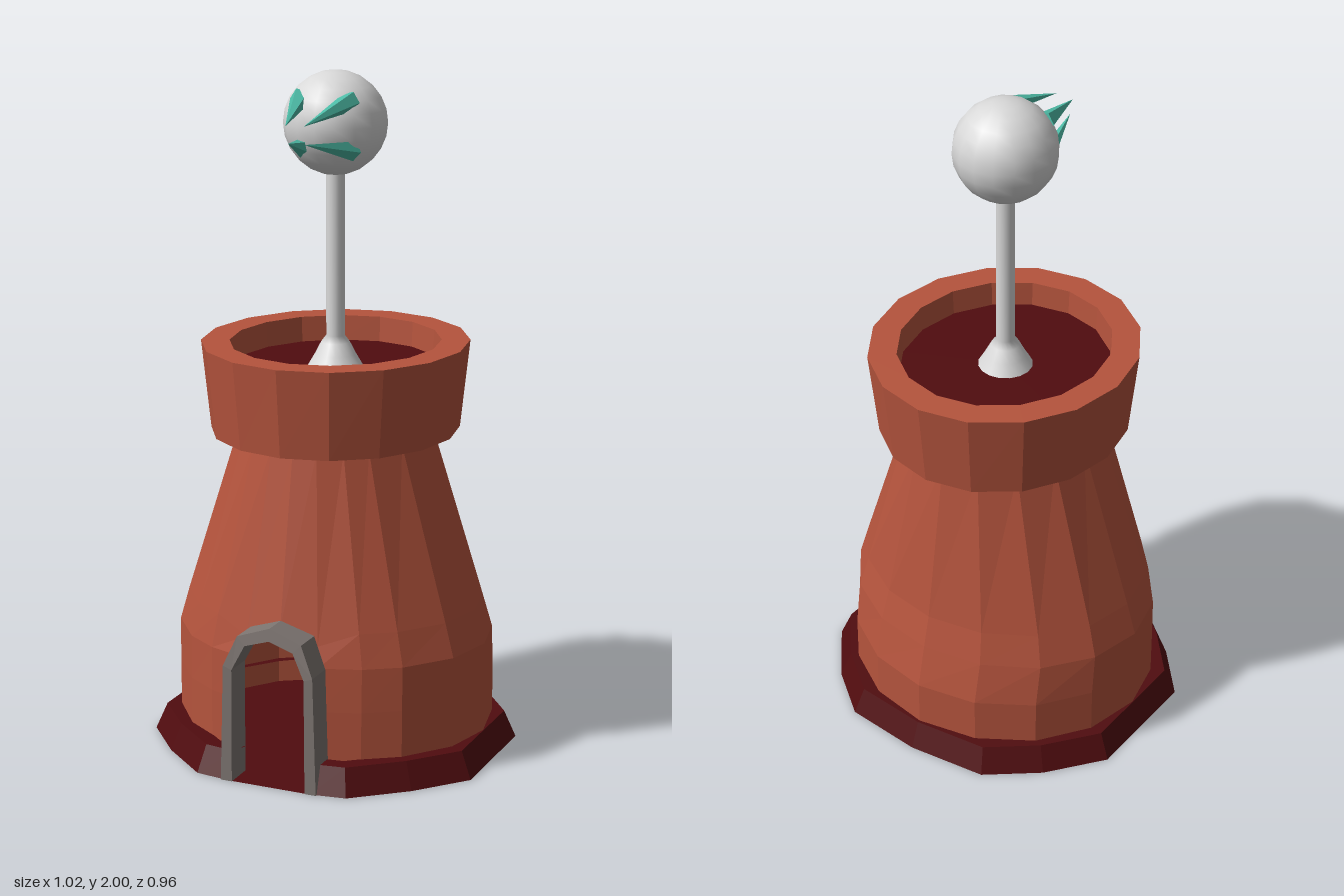
import * as THREE from 'three';

const rad = THREE.MathUtils.degToRad;

// Oval ring with separate front and back depths
function ring(angles, y, rx, zFront, zBack) {
  return angles.map((a) => {
    const c = Math.cos(rad(a));
    return [Math.sin(rad(a)) * rx, y, c * (c > 0 ? zFront : zBack)];
  });
}

// Skin between successive rings; skip(i, row) leaves an opening
function loft(rings, closed = true, skip = () => false) {
  const pos = [];
  const n = rings[0].length;
  for (let j = 0; j < rings.length - 1; j++) {
    for (let i = 0; i < (closed ? n : n - 1); i++) {
      if (skip(i, j)) continue;
      const k = (i + 1) % n;
      const a = rings[j][i], b = rings[j][k], c = rings[j + 1][k], d = rings[j + 1][i];
      pos.push(...a, ...b, ...c, ...a, ...c, ...d);
    }
  }
  const g = new THREE.BufferGeometry();
  g.setAttribute('position', new THREE.Float32BufferAttribute(pos, 3));
  g.computeVertexNormals();
  return g;
}

export function createModel() {
  const model = new THREE.Group();
  model.name = 'tower';

  const mat = (name, color, extra = {}) =>
    new THREE.MeshStandardMaterial({ name, color, ...extra });
  const brick = mat('brick', 0xb5543d, { flatShading: true, side: THREE.DoubleSide });
  const darkRed = mat('dark red', 0x500c0f, { flatShading: true, side: THREE.DoubleSide });
  const stone = mat('grey stone', 0x7d7571, { flatShading: true });
  const white = mat('pale grey', 0xd8d8d8);
  const teal = mat('teal', 0x4dbba6, { flatShading: true });

  const add = (name, geometry, material, parent = model) => {
    const m = new THREE.Mesh(geometry, material);
    m.name = name;
    parent.add(m);
    return m;
  };

  // Irregular base, open at the doorway
  const half = [[0.13, 0.475], [0.235, 0.46], [0.385, 0.335], [0.51, 0.19],
    [0.51, -0.185], [0.385, -0.345], [0.24, -0.46]];
  const outline = [...half, [0, -0.485], ...half.map(([x, z]) => [-x, z]).reverse()];
  const baseRing = (s, y) => outline.map(([x, z]) => [x * s, y, z * s]);
  add('baseSkirt', loft([baseRing(1, 0), baseRing(0.935, 0.08), baseRing(0.84, 0.08)], false), darkRed);
  const floor = new THREE.ShapeGeometry(
    new THREE.Shape(outline.map(([x, z]) => new THREE.Vector2(x, z))));
  floor.rotateX(Math.PI / 2);
  add('baseFloor', floor, darkRed);

  // Hollow tower wall with a doorway left out of the front
  const side = [0, 14.5, 30, 45, 67.5, 90, 112.5, 135, 157.5, 180];
  const wallAngles = [...side, ...side.slice(1, -1).reverse().map((a) => 360 - a)];
  const last = wallAngles.length - 1;
  const lintel = ring(wallAngles, 0.45, 0.445, 0.39, 0.39);
  lintel[1][1] = lintel[last][1] = 0.41;
  add('towerWall', loft([
    ring(wallAngles, 0.003, 0.475, 0.41, 0.445),
    ring(wallAngles, 0.22, 0.475, 0.41, 0.445),
    ring(wallAngles, 0.35, 0.475, 0.405, 0.415),
    lintel,
    ring(wallAngles, 0.955, 0.28, 0.3, 0.31),
  ], true, (i, j) => j < 3 && (i === 0 || i === last)), brick);

  // Flared crown with a sunken floor
  const around = Array.from({ length: 16 }, (_, i) => i * 22.5);
  const crownBottom = ring(around, 0.955, 0.36, 0.385, 0.39);
  const crownInner = ring(around, 1.14, 0.3, 0.322, 0.328);
  add('crown', loft([
    crownBottom,
    ring(around, 1.215, 0.388, 0.41, 0.418),
    ring(around, 1.215, 0.305, 0.326, 0.332),
    crownInner,
  ]), brick);
  add('crownUnderside', loft([ring(around, 0.955, 0.275, 0.295, 0.305), crownBottom]), darkRed);
  add('crownFloor', loft([crownInner, ring(around, 1.14, 0, 0, 0)]), darkRed);

  // Stone door arch, its top leaning back slightly
  const outer = [[0.15, 0], [0.14, 0.35], [0.1, 0.44], [0, 0.475]];
  const inner = [[0.115, 0], [0.113, 0.34], [0.075, 0.415], [0, 0.438]];
  const mirrored = (pts) => pts.slice(0, -1).reverse().map(([x, y]) => [-x, y]);
  const archPath = [...outer, ...mirrored(outer),
    ...[...inner, ...mirrored(inner)].reverse()];
  const arch = new THREE.ExtrudeGeometry(
    new THREE.Shape(archPath.map(([x, y]) => new THREE.Vector2(x, y))),
    { depth: 0.09, bevelEnabled: false });
  arch.translate(0, 0, 0.388);
  const p = arch.attributes.position;
  for (let i = 0; i < p.count; i++) {
    p.setZ(i, p.getZ(i) - Math.max(0, p.getY(i) - 0.36) * 0.15);
  }
  arch.computeVertexNormals();
  add('doorArch', arch, stone);

  // Pole with a flared foot, and the ball on top
  const foot = [[0.08, 1.141], [0.06, 1.175], [0.042, 1.21], [0.027, 1.23], [0.027, 1.72]];
  add('pole', new THREE.LatheGeometry(foot.map(([r, y]) => new THREE.Vector2(r, y)), 16), white);
  add('ball', new THREE.SphereGeometry(0.15, 16, 12), white).position.y = 1.85;

  // Four spikes converging in front of the ball: base x, y, then tip x, y
  const spikes = new THREE.Group();
  spikes.name = 'spikes';
  model.add(spikes);
  for (const [bx, by, tx, ty] of [
    [-0.075, 1.925, -0.018, 1.878], [0.08, 1.925, 0.037, 1.88],
    [-0.065, 1.782, -0.01, 1.83], [0.085, 1.785, 0.04, 1.83]]) {
    const from = new THREE.Vector3(bx, by, 0.075);
    const to = new THREE.Vector3(tx, ty, 0.3);
    const dir = to.clone().sub(from);
    const spike = add('spike', new THREE.ConeGeometry(0.03, dir.length(), 5), teal, spikes);
    spike.position.copy(from).add(to).multiplyScalar(0.5);
    spike.quaternion.setFromUnitVectors(new THREE.Vector3(0, 1, 0), dir.normalize());
  }

  return model;
}
